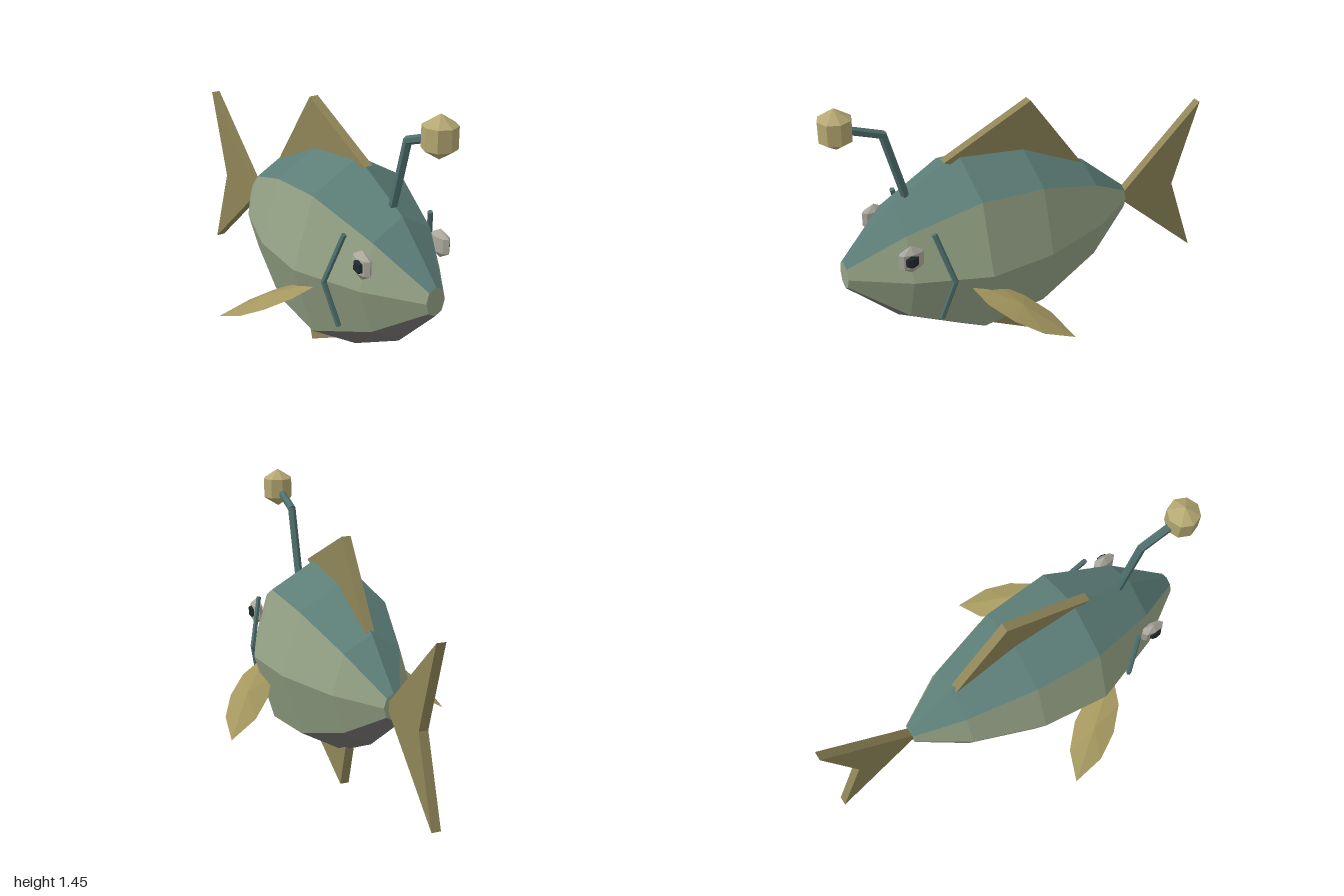
import * as THREE from 'three';

const mat = (color, side = THREE.FrontSide) =>
  new THREE.MeshStandardMaterial({ color, flatShading: true, side });
const teal = mat(0x5c7d77), sage = mat(0x94a285), grey = mat(0x777572);
const finMat = mat(0x8f8558), paleFin = mat(0xa3965e, THREE.DoubleSide);
const lureMat = mat(0xb5a873), rodMat = mat(0x4f716e);
const eyeMat = mat(0xaba89c), pupilMat = mat(0x20282b);

// Body cross-sections: z, half width, half height
const CY = 0.615;
const RINGS = [
  [0.94, 0.05, 0.07], [0.69, 0.22, 0.305], [0.35, 0.345, 0.478],
  [0.02, 0.315, 0.436], [-0.32, 0.197, 0.273], [-0.56, 0.046, 0.065],
];

function mesh(name, geometry, material) {
  const m = new THREE.Mesh(geometry, material);
  m.name = name;
  return m;
}

function fromTriangles(points) {
  const g = new THREE.BufferGeometry().setFromPoints(points);
  g.computeVertexNormals();
  return g;
}

// Lengthwise strips of the eight-sided body
function bodyStrips(strips) {
  const P = (i, k) => {
    const [z, w, h] = RINGS[i], a = k * Math.PI / 4;
    return new THREE.Vector3(w * Math.cos(a), CY + h * Math.sin(a), z);
  };
  const pts = [];
  for (const k of strips) {
    for (let i = 0; i < RINGS.length - 1; i++) {
      const a = P(i, k), b = P(i + 1, k), c = P(i + 1, k + 1), d = P(i, k + 1);
      pts.push(a, b, c, a, c, d);
    }
  }
  return fromTriangles(pts);
}

function bodyCap(ring, turn) {
  const [z, w, h] = ring;
  return new THREE.CircleGeometry(1, 8).scale(w, h, 1).rotateY(turn).translate(0, CY, z);
}

// Flat upright fin from [z, y] corners
function plateFin(name, corners, thickness = 0.045) {
  const shape = new THREE.Shape(corners.map(([z, y]) => new THREE.Vector2(z, y)));
  const g = new THREE.ExtrudeGeometry(shape, { depth: thickness, bevelEnabled: false });
  g.translate(0, 0, -thickness / 2).rotateY(-Math.PI / 2);
  return mesh(name, g, finMat);
}

// Straight rods joined along a path
function rods(name, points, radius) {
  const group = new THREE.Group();
  group.name = name;
  const pts = points.map(p => new THREE.Vector3(...p));
  for (let i = 0; i < pts.length - 1; i++) {
    const dir = pts[i + 1].clone().sub(pts[i]);
    const rod = mesh(name + 'Segment', new THREE.CylinderGeometry(radius, radius, dir.length() + radius * 0.5, 6), rodMat);
    rod.position.copy(pts[i]).addScaledVector(dir, 0.5);
    rod.quaternion.setFromUnitVectors(new THREE.Vector3(0, 1, 0), dir.normalize());
    group.add(rod);
  }
  return group;
}

function ball(name, r, scale, position, material) {
  const m = mesh(name, new THREE.SphereGeometry(r, 8, 3), material);
  m.scale.set(...scale);
  m.position.set(...position);
  return m;
}

// Leaf-shaped side fin, raised at its middle on both faces
function pectoralFin() {
  const c = new THREE.Vector3(0.41, 0.445, 0.25);
  const along = new THREE.Vector3(0.16, -0.132, -0.203);
  const across = new THREE.Vector3(0.075, -0.005, 0.067);
  const normal = across.clone().cross(along).normalize();
  const rim = [[1, 0], [0.5, 0.8], [0, 1], [-0.5, 0.8], [-1, 0], [-0.5, -0.8], [0, -1], [0.5, -0.8]]
    .map(([u, v]) => c.clone().addScaledVector(along, u).addScaledVector(across, v));
  const top = c.clone().addScaledVector(normal, 0.03);
  const bottom = c.clone().addScaledVector(normal, -0.03);
  const pts = [];
  rim.forEach((p, i) => {
    const q = rim[(i + 1) % rim.length];
    pts.push(top, q, p, bottom, p, q);
  });
  return mesh('pectoralFin', fromTriangles(pts), paleFin);
}

export function createModel() {
  const fish = new THREE.Group();
  fish.name = 'fish';

  // Body in three colours
  fish.add(
    mesh('back', bodyStrips([1, 2]), teal),
    mesh('flanks', bodyStrips([0, 3, 4, 7]), sage),
    mesh('belly', bodyStrips([5, 6]), grey),
    mesh('mouth', bodyCap(RINGS[0], 0), sage),
    mesh('tailRoot', bodyCap(RINGS[5], Math.PI), sage),
  );

  // Upright fins
  fish.add(
    plateFin('dorsalFin', [[0.43, 1.07], [0.34, 1.03], [-0.26, 0.84], [-0.3, 0.89], [-0.02, 1.28]]),
    plateFin('analFin', [[0.3, 0.19], [0.28, 0.145], [0, 0.005], [-0.07, 0.24]]),
    plateFin('tailFin', [[-0.55, 0.635], [-0.55, 0.605], [-1, 0.205], [-0.86, 0.615], [-1, 1.05]]),
  );

  // Lure on its bent rod
  fish.add(
    rods('lureRod', [[0, 0.93, 0.615], [0, 1.275, 0.71], [0, 1.345, 0.9]], 0.02),
    ball('lure', 0.098, [0.91, 1, 0.91], [0, 1.353, 0.922], lureMat),
  );

  // Paired parts, mirrored to the other side
  for (const side of [1, -1]) {
    const pair = new THREE.Group();
    pair.name = side > 0 ? 'leftSide' : 'rightSide';
    pair.add(
      ball('eye', 0.07, [0.45, 1, 1], [0.213, 0.745, 0.695], eyeMat),
      ball('pupil', 0.036, [0.5, 1, 1], [0.236, 0.745, 0.7], pupilMat),
      rods('gill', [[0.235, 0.85, 0.587], [0.295, 0.615, 0.52], [0.25, 0.41, 0.572]], 0.013),
      pectoralFin(),
    );
    pair.scale.x = side;
    fish.add(pair);
  }
  return fish;
}
